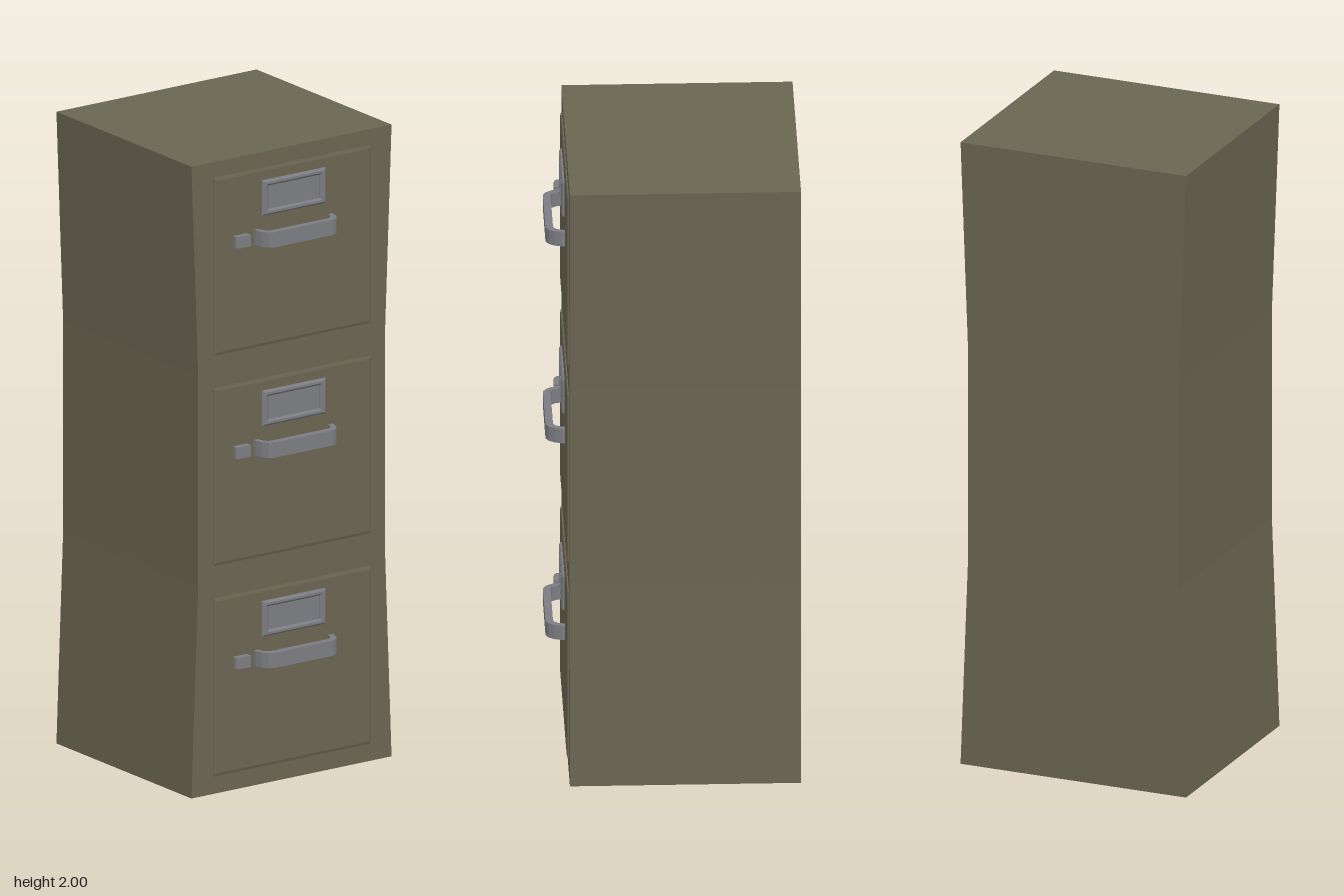
import * as THREE from 'three';

const polygon = (pts) => new THREE.Shape(pts.map(([a, b]) => new THREE.Vector2(a, b)));
const rect = (w, h) => polygon([[-w, -h], [w, -h], [w, h], [-w, h]]);

// Extrude an outline drawn in (-z, y) along +x, from x0 to x1, with an optional bevel
function alongX(shape, x0, x1, bevel = 0, rise = 0) {
  const geo = new THREE.ExtrudeGeometry(shape, {
    depth: x1 - x0 - 2 * rise, bevelEnabled: bevel > 0, bevelSize: bevel,
    bevelThickness: rise, bevelOffset: -bevel, bevelSegments: 1,
  });
  return geo.translate(0, 0, x0 + rise).rotateY(Math.PI / 2);
}

// Extrude an outline drawn in (x, -z) upwards, centred on y = 0
function alongY(shape, height) {
  return new THREE.ExtrudeGeometry(shape, { depth: height, bevelEnabled: false })
    .translate(0, 0, -height / 2).rotateX(-Math.PI / 2);
}

export function createModel() {
  const paint = new THREE.MeshStandardMaterial({ color: 0x6a6552 });
  paint.name = 'olive paint';
  const metal = new THREE.MeshStandardMaterial({ color: 0x7b7d82 });
  metal.name = 'grey metal';

  const model = new THREE.Group();
  model.name = 'filingCabinet';
  const add = (parent, name, geo, mat, y = 0) => {
    const mesh = new THREE.Mesh(geo, mat);
    mesh.name = name;
    mesh.position.y = y;
    parent.add(mesh);
  };

  // Waisted cabinet body
  const side = [[0.373, 0], [0.348, 0.667], [0.348, 1.333], [0.373, 2]];
  const body = polygon([...side, ...side.map(([z, y]) => [-z, y]).reverse()]);
  add(model, 'cabinetBody', alongX(body, -0.383, 0.317), paint);

  // Drawer front with a narrow bevelled edge
  const panel = alongX(rect(0.293, 0.281), 0.305, 0.324, 0.009, 0.003);

  // Label holder: bevelled frame around a flat plate
  const frameShape = rect(0.118, 0.056);
  frameShape.holes.push(rect(0.097, 0.037));
  const frame = alongX(frameShape, 0.31, 0.334, 0.006, 0.005);
  const plate = new THREE.BoxGeometry(0.008, 0.076, 0.196).translate(0.323, 0, 0);

  // Bow handle with chamfer-rounded corners
  const outer = [[0.318, 0.147], [0.333, 0.146], [0.356, 0.139], [0.373, 0.127], [0.382, 0.11]];
  const inner = [[0.359, 0.107], [0.355, 0.117], [0.343, 0.125], [0.33, 0.129], [0.318, 0.13]];
  const half = [...outer, ...inner];
  const bow = polygon([
    ...outer, ...outer.map(([x, z]) => [x, -z]).reverse(),
    ...half.slice(5).map(([x, z]) => [x, -z]).reverse(), ...inner,
  ]);
  const handle = alongY(bow, 0.048);

  // Thumb latch, rounded at its outer end
  const latch = alongY(polygon([
    [0.318, -0.172], [0.346, -0.172], [0.346, -0.207], [0.343, -0.218], [0.337, -0.224], [0.318, -0.224],
  ]), 0.036);

  for (let i = 0; i < 3; i++) {
    const drawer = new THREE.Group();
    drawer.name = 'drawer' + (i + 1);
    drawer.position.y = 0.337 + i * 0.666;
    add(drawer, 'drawerFront', panel, paint);
    add(drawer, 'labelFrame', frame, metal, 0.188);
    add(drawer, 'labelPlate', plate, metal, 0.188);
    add(drawer, 'handle', handle, metal, 0.069);
    add(drawer, 'latch', latch, metal, 0.069);
    model.add(drawer);
  }
  return model;
}
